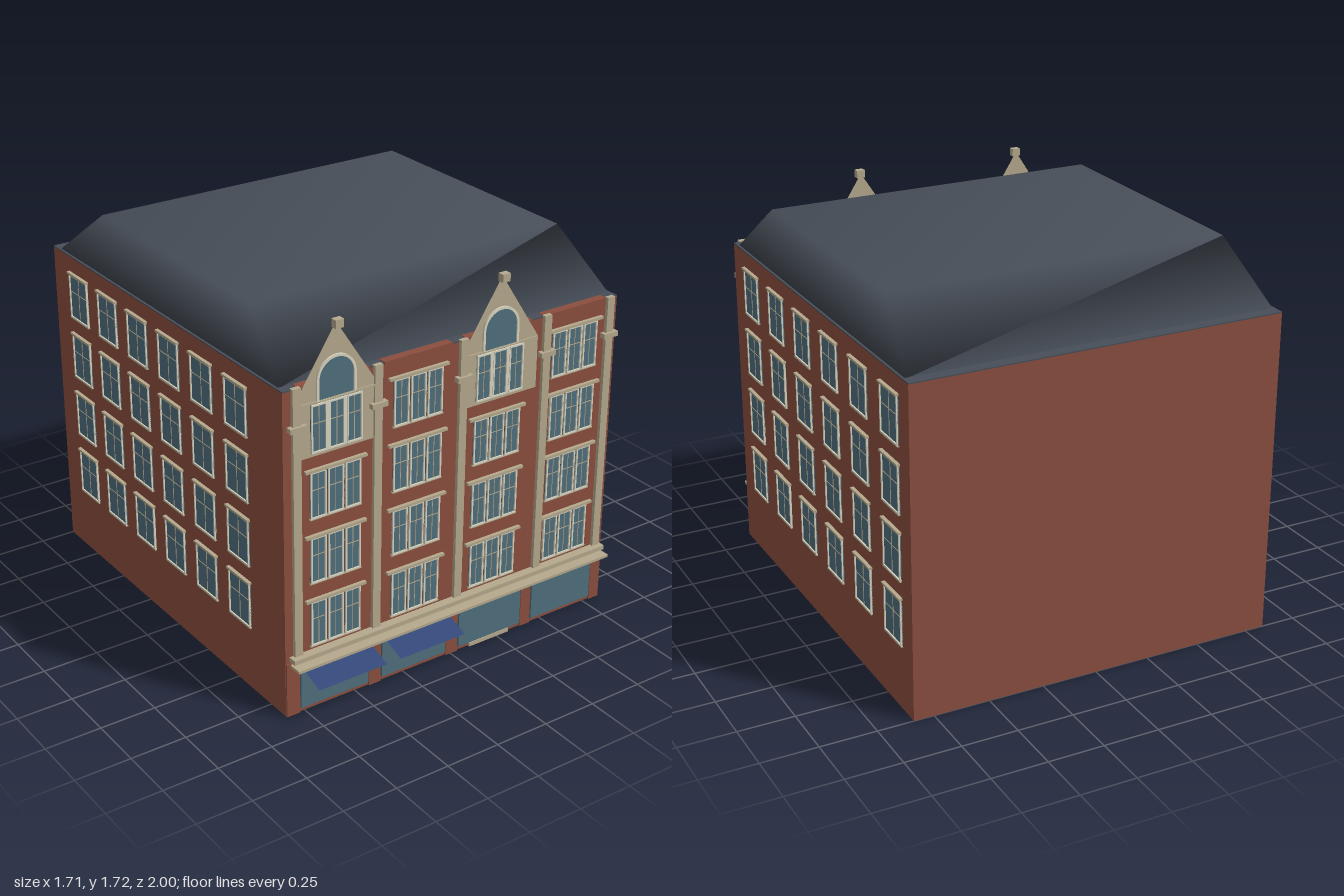
import * as THREE from 'three';
import { mergeVertices } from 'three/addons/utils/BufferGeometryUtils.js';

const mat = (color, side = THREE.FrontSide) => new THREE.MeshStandardMaterial({ color, side });

export function createModel() {
  const root = new THREE.Group();
  root.name = 'building';
  const brick = mat(0x8b4e3f), stone = mat(0xb5a88c), cream = mat(0xd8d4c0);
  const slate = mat(0x474e58), glass = mat(0x4f6f7d);
  const stoneSheet = mat(0xb5a88c, THREE.DoubleSide), blue = mat(0x34497a, THREE.DoubleSide);

  const add = (parent, name, geo, material, x = 0, y = 0, z = 0) => {
    const m = new THREE.Mesh(geo, material);
    m.name = name;
    m.position.set(x, y, z);
    parent.add(m);
    return m;
  };
  // Box given by its limits on each axis
  const block = (parent, name, material, x0, x1, y0, y1, z0, z1) =>
    add(parent, name, new THREE.BoxGeometry(x1 - x0, y1 - y0, z1 - z0), material,
      (x0 + x1) / 2, (y0 + y1) / 2, (z0 + z1) / 2);

  // Glazed sash with frame and glazing bars, facing +z, centred on the origin
  const sash = (w, h, t) => {
    const g = new THREE.Group(), a = w / 2, b = h / 2;
    g.name = 'window';
    block(g, 'pane', glass, -a, a, -b, b, 0, 0.004);
    for (const s of [-1, 1]) {
      add(g, 'frameSide', new THREE.BoxGeometry(t, h, 0.01), cream, s * (a - t / 2), 0, 0.005);
      add(g, 'frameRail', new THREE.BoxGeometry(w, t, 0.01), cream, 0, s * (b - t / 2), 0.005);
    }
    block(g, 'uprightBar', stone, -0.0015, 0.0015, -b, b, 0, 0.006);
    block(g, 'crossBar', stone, -a, a, h * 0.1, h * 0.1 + 0.003, 0, 0.006);
    return g;
  };

  // Main block, roof deck and hipped roof
  block(root, 'walls', brick, -0.84, 0.84, 0, 1.46, -1, 0.86);
  block(root, 'roofDeck', slate, -0.84, 0.84, 1.46, 1.465, -1, 0.86);
  let roof = new THREE.BoxGeometry(2, 1, 2);
  const p = roof.attributes.position;
  for (let i = 0; i < p.count; i++) {
    const top = p.getY(i) > 0;
    p.setXYZ(i, p.getX(i) * (top ? 0.77 : 0.83), top ? 1.7 : 1.462,
      p.getZ(i) > 0 ? (top ? 0.54 : 0.82) : (top ? -0.65 : -0.95));
  }
  roof.deleteAttribute('normal');
  roof.deleteAttribute('uv');
  roof = mergeVertices(roof);
  roof.computeVertexNormals();
  add(root, 'roof', roof, slate);

  // Bays: window centre and shopfront limits
  const rows = [0.402, 0.694, 0.986, 1.278];
  const bays = [
    { x: -0.598, shop: [-0.77, -0.435], gable: true },
    { x: -0.2, shop: [-0.365, -0.032] },
    { x: 0.208, shop: [0.04, 0.378], gable: true },
    { x: 0.612, shop: [0.442, 0.778] },
  ];

  const archShape = (r) => {
    const s = new THREE.Shape();
    s.moveTo(-r, 0);
    s.lineTo(r, 0);
    s.lineTo(r, 0.085);
    s.absarc(0, 0.085, r, 0, Math.PI, false);
    s.closePath();
    return s;
  };

  // Pointed gable with arched light and finial
  const gable = (x) => {
    const g = new THREE.Group();
    g.name = 'gable';
    g.position.set(x, 0, 0.867);
    const face = new THREE.Shape([[-0.2, 1.157], [0.2, 1.157], [0.2, 1.39], [0, 1.7], [-0.2, 1.39]]
      .map(([u, v]) => new THREE.Vector2(u, v)));
    add(g, 'gableFace', new THREE.ShapeGeometry(face), stoneSheet);
    const ring = archShape(0.092);
    ring.holes.push(archShape(0.081));
    add(g, 'archFrame', new THREE.ExtrudeGeometry(ring, { depth: 0.008, bevelEnabled: false, curveSegments: 16 }),
      cream, 0, 1.39, 0);
    add(g, 'archPane', new THREE.ShapeGeometry(archShape(0.083), 16), glass, 0, 1.39, 0.003);
    block(g, 'archSill', stone, -0.19, 0.19, 1.383, 1.392, 0, 0.006);
    add(g, 'finial', new THREE.BoxGeometry(0.038, 0.035, 0.03), stone, 0, 1.698, 0.012);
    root.add(g);
  };

  for (const bay of bays) {
    const [s0, s1] = bay.shop;
    block(root, 'parapet', brick, s0, s1, 1.44, 1.468, 0.825, 0.863);
    block(root, 'shopGlass', glass, s0, s1, 0.02, 0.25, 0.855, 0.87);
    if (bay.gable) gable(bay.x);
    rows.forEach((y, r) => {
      const inGable = bay.gable && r === 3;
      const z = inGable ? 0.868 : 0.861;
      for (const k of [-1, 0, 1]) {
        const w = sash(0.074, 0.207, 0.007);
        w.position.set(bay.x + k * 0.083, y, z);
        root.add(w);
      }
      if (inGable) {
        for (const k of [-1, 1])
          add(root, 'mullion', new THREE.BoxGeometry(0.012, 0.207, 0.008), cream, bay.x + k * 0.0415, y, z + 0.004);
      } else {
        block(root, 'lintel', stone, bay.x - 0.146, bay.x + 0.146, y + 0.104, y + 0.116, 0.86, 0.876);
        block(root, 'sill', stone, bay.x - 0.124, bay.x + 0.124, y - 0.108, y - 0.102, 0.86, 0.87);
      }
    });
  }

  // Stone pilasters with bands
  for (const x of [-0.783, -0.4, 0.022, 0.455, 0.797]) {
    block(root, 'pilaster', stone, x - 0.019, x + 0.019, 0.27, 1.47, 0.855, 0.876);
    block(root, 'pilasterBand', stone, x - 0.038, x + 0.038, 1.29, 1.312, 0.858, 0.888);
  }
  // Brick piers between the shops
  for (const [a, b] of [[-0.838, -0.775], [-0.43, -0.37], [-0.027, 0.035], [0.383, 0.437], [0.783, 0.838]])
    block(root, 'shopPier', brick, a, b, 0, 0.25, 0.85, 0.867);

  // Cornice above the shops
  block(root, 'corniceUpper', stone, -0.82, 0.825, 0.26, 0.28, 0.855, 0.9);
  block(root, 'corniceLower', stone, -0.82, 0.825, 0.235, 0.247, 0.865, 0.93);

  // Sloping awnings
  for (const { shop: [a, b] } of bays.slice(0, 2)) {
    const awning = add(root, 'awning', new THREE.PlaneGeometry(b - a, 0.137), blue, (a + b) / 2, 0.201, 0.935);
    awning.rotation.x = -Math.atan2(0.13, 0.045);
  }

  // Doorstep
  block(root, 'doorstep', stone, 0.1, 0.315, 0, 0.018, 0.855, 0.872);

  // Side windows
  const sideWall = (name, side, centres) => {
    const wall = new THREE.Group();
    wall.name = name;
    for (const z of centres) for (const y of rows) {
      const w = sash(0.16, 0.207, 0.006);
      block(w, 'lintel', stone, -0.085, 0.085, 0.104, 0.114, 0, 0.016);
      block(w, 'sill', stone, -0.082, 0.082, -0.108, -0.103, 0, 0.01);
      w.position.set(side * 0.841, y, z);
      w.rotation.y = side * Math.PI / 2;
      wall.add(w);
    }
    root.add(wall);
  };
  const spaced = (start, step) => Array.from({ length: 6 }, (_, i) => start + i * step);
  sideWall('leftWindows', 1, spaced(-0.83, 0.2945));
  sideWall('rightWindows', -1, spaced(-0.77, 0.26));

  return root;
}
